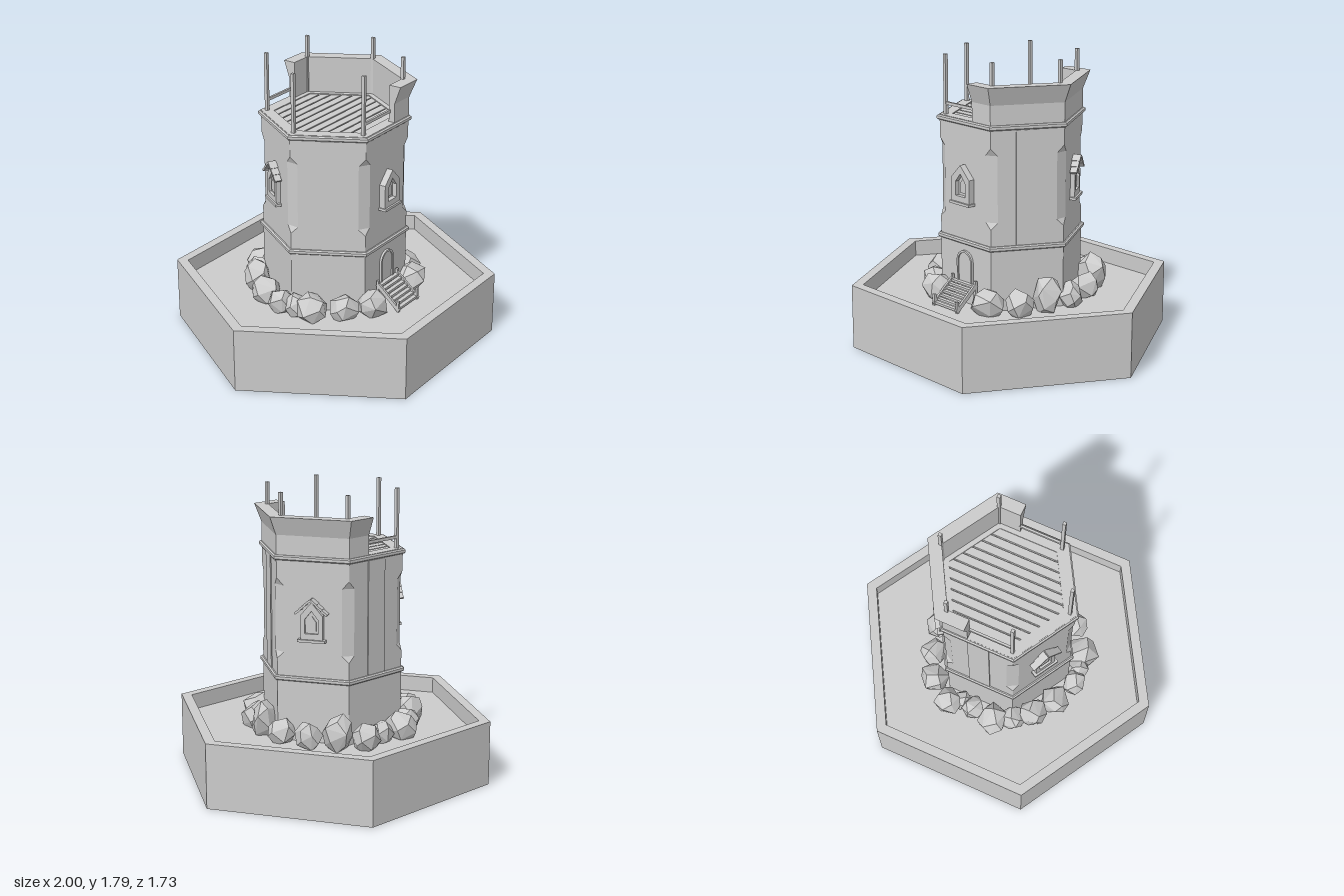
import * as THREE from 'three';
import { ConvexGeometry } from 'three/addons/geometries/ConvexGeometry.js';

const mat = new THREE.MeshStandardMaterial({ color: 0xcccccc, flatShading: true });
const APOTHEM = 0.384, R = 0.443;

function add(parent, name, geometry, x = 0, y = 0, z = 0) {
  const mesh = new THREE.Mesh(geometry, mat);
  mesh.name = name;
  mesh.position.set(x, y, z);
  parent.add(mesh);
  return mesh;
}
const box = (parent, name, w, h, d, x, y, z) =>
  add(parent, name, new THREE.BoxGeometry(w, h, d), x, y, z);

// Six-sided solid or ring from a (radius, height) profile
function hexLathe(profile) {
  const pts = profile.map(([r, y]) => new THREE.Vector2(r, y));
  const g = new THREE.LatheGeometry(pts, 6, Math.PI / 2).toNonIndexed();
  g.computeVertexNormals();
  return g;
}

// Skin over matching closed cross-sections, with flat end caps
function loft(rings) {
  const pos = [], n = rings[0].length;
  const tri = (...p) => p.forEach(v => pos.push(...v));
  for (let i = 0; i < rings.length - 1; i++) {
    for (let j = 0; j < n; j++) {
      const k = (j + 1) % n, a = rings[i], b = rings[i + 1];
      tri(a[j], a[k], b[k]);
      tri(a[j], b[k], b[j]);
    }
  }
  const first = rings[0], last = rings[rings.length - 1];
  for (let j = 1; j < n - 1; j++) {
    tri(first[0], first[j + 1], first[j]);
    tri(last[0], last[j], last[j + 1]);
  }
  const g = new THREE.BufferGeometry();
  g.setAttribute('position', new THREE.Float32BufferAttribute(pos, 3));
  g.computeVertexNormals();
  return g;
}

const corner = (k, r = R) => {
  const a = Math.PI / 6 + k * Math.PI / 3;
  return [r * Math.sin(a), r * Math.cos(a)];
};

// Hexagon at height y, each corner cut back by t along both walls
function cutHexagon(y, t) {
  const ring = [];
  for (let k = 0; k < 6; k++) {
    const c = corner(k);
    for (const n of [corner(k - 1), corner(k + 1)]) {
      ring.push([c[0] + (n[0] - c[0]) * t / R, y, c[1] + (n[1] - c[1]) * t / R]);
    }
  }
  return ring;
}

function house(w, y0, y1, y2, Type = THREE.Shape) {
  return new Type([[-w, y0], [w, y0], [w, y1], [0, y2], [-w, y1]]
    .map(p => new THREE.Vector2(...p)));
}
function arch(w, y0, y1, Type = THREE.Shape) {
  const s = new Type();
  s.moveTo(-w, y0);
  s.lineTo(w, y0);
  s.lineTo(w, y1);
  s.absarc(0, y1, w, 0, Math.PI, false);
  s.closePath();
  return s;
}
const extrude = (shape, depth) =>
  new THREE.ExtrudeGeometry(shape, { depth, bevelEnabled: false, curveSegments: 10 });

// Group placed on the wall that faces the given angle
function wallGroup(parent, name, angle) {
  const g = new THREE.Group();
  g.name = name;
  g.rotation.y = angle;
  g.position.set(APOTHEM * Math.sin(angle), 0, APOTHEM * Math.cos(angle));
  parent.add(g);
  return g;
}

function addWindow(parent, angle, roofed) {
  const g = wallGroup(parent, 'window', angle);
  const w = roofed ? 0.068 : 0.078, depth = roofed ? 0.028 : 0.04;
  const frame = house(w, 0.935, 1.085, 1.165);
  frame.holes.push(house(0.042, 0.975, 1.06, 1.112, THREE.Path));
  add(g, 'windowFrame', extrude(frame, depth));
  add(g, 'windowPane', extrude(house(0.045, 0.97, 1.062, 1.116), 0.012));
  add(g, 'windowInnerFrame', extrude(house(0.026, 0.99, 1.045, 1.08), 0.018));
  box(g, 'windowSill', 0.17, 0.016, depth + 0.012, 0, 0.932, (depth + 0.012) / 2);
  if (!roofed) return;
  // Overlapping roof boards on both slopes
  for (const s of [-1, 1]) {
    for (let i = 0; i < 3; i++) {
      const b = box(g, 'windowRoofBoard', 0.047, 0.013, 0.05 - i * 0.004,
        s * (0.018 + i * 0.031), 1.168 - i * 0.029, 0.025);
      b.rotation.z = -s * 0.66;
    }
  }
}

function addStairs(parent) {
  const g = new THREE.Group();
  g.name = 'stairs';
  parent.add(g);
  for (let i = 0; i < 7; i++) {
    box(g, 'stairTread', 0.2, 0.014, 0.026, 0, 0.43 - i * 0.019, 0.405 + i * 0.0225);
  }
  for (const s of [-1, 1]) {
    const rail = box(g, 'stairStringer', 0.014, 0.026, 0.21, s * 0.103, 0.375, 0.475);
    rail.rotation.x = 0.7;
    box(g, 'stairTopPost', 0.016, 0.12, 0.016, s * 0.103, 0.405, 0.4);
    box(g, 'stairBottomPost', 0.016, 0.07, 0.016, s * 0.103, 0.335, 0.548);
  }
}

// Faceted boulder from jittered, evenly spread points
function boulder(rx, ry, rz, random) {
  const pts = [], n = 16;
  for (let i = 0; i < n; i++) {
    const y = 1 - 2 * (i + 0.5) / n, a = i * 2.4 + random() * 0.7;
    const r = Math.sqrt(1 - y * y), s = 0.95 + random() * 0.2;
    pts.push(new THREE.Vector3(rx * s * r * Math.cos(a), ry * s * y, rz * s * r * Math.sin(a)));
  }
  return new ConvexGeometry(pts);
}

export function createModel() {
  const model = new THREE.Group();
  model.name = 'hexTower';

  // Base tray with a raised rim
  add(model, 'base', hexLathe([[0, 0], [1, 0], [1, 0.4], [0.93, 0.4], [0.93, 0.3], [0, 0.3]]));

  // Tower body with bevelled corners between the bands
  const sections = [[0.29, 0], [0.805, 0], [0.845, 0.042], [1.25, 0.042], [1.295, 0], [1.4, 0]];
  add(model, 'towerBody', loft(sections.map(([y, t]) => cutHexagon(y, t + 0.0003))));
  for (const y of [0.672, 1.402]) {
    add(model, 'band', hexLathe([[0.43, y], [0.452, y], [0.462, y + 0.007],
      [0.462, y + 0.023], [0.452, y + 0.03], [0.43, y + 0.03]]));
  }

  // Tall wall panels and windows on alternating walls
  for (const a of [-1, 1, 3]) {
    const g = wallGroup(model, 'wallPanel', a * Math.PI / 3);
    box(g, 'panelBoard', 0.137, 0.695, 0.008, 0, 1.052, 0.002);
  }
  for (const a of [0, 2, -2]) addWindow(model, a * Math.PI / 3, a !== 0);

  // Arched door and steps
  const door = wallGroup(model, 'door', 0);
  const frame = arch(0.067, 0.4, 0.565);
  frame.holes.push(arch(0.054, 0.41, 0.565, THREE.Path));
  add(door, 'doorFrame', extrude(frame, 0.014));
  add(door, 'doorLeaf', extrude(arch(0.058, 0.405, 0.565), 0.006));
  addStairs(model);

  // Roof deck: frame ring, joists and planks
  add(model, 'deckFrame', hexLathe([[0.445, 1.39], [0.445, 1.434], [0.365, 1.434], [0.365, 1.39]]));
  for (const x of [-0.2, 0.2]) box(model, 'deckJoist', 0.02, 0.02, 0.64, x, 1.405, 0);
  for (let i = 0; i < 11; i++) {
    const z = (i - 5) * 0.0585;
    box(model, 'deckPlank', 2 * (0.405 - Math.abs(z) / Math.sqrt(3)), 0.02, 0.05, 0, 1.418, z);
  }

  // Flared parapet around the left half of the deck
  const profile = [[0.4, 1.66], [0.49, 1.66], [0.445, 1.55], [0.445, 1.43], [0.4, 1.43]];
  const end = s => profile.map(([r, y]) => [0.065, y, s * r * Math.sqrt(3) / 2]);
  const bend = k => profile.map(([r, y]) => {
    const [x, z] = corner(k, r);
    return [x, y, z];
  });
  add(model, 'parapet', loft([end(1), bend(0), bend(1), bend(2), end(-1)]));

  // Corner posts and rails
  for (let k = 0; k < 6; k++) {
    const [x, z] = corner(k, 0.405);
    box(model, 'deckPost', 0.02, 0.39, 0.02, x, 1.6, z);
  }
  for (const s of [-1, 1]) box(model, 'deckRail', 0.28, 0.018, 0.014, -0.065, 1.5, s * 0.351);

  // Ring of boulders: x, z, radius, top height
  const rocks = [
    [-0.13, -0.48, 0.1, 0.45], [0.02, -0.46, 0.075, 0.43], [0.18, -0.49, 0.09, 0.45],
    [0.32, -0.39, 0.095, 0.515], [0.41, -0.23, 0.085, 0.45], [0.46, -0.05, 0.08, 0.44],
    [0.44, 0.13, 0.085, 0.51], [0.37, 0.29, 0.09, 0.45], [0.23, 0.42, 0.1, 0.45],
    [-0.21, 0.43, 0.1, 0.445], [-0.35, 0.32, 0.09, 0.44], [-0.46, 0.17, 0.105, 0.45],
    [-0.5, -0.04, 0.08, 0.44], [-0.44, -0.2, 0.095, 0.45], [-0.34, -0.34, 0.09, 0.49],
    [-0.24, -0.42, 0.08, 0.44], [0.1, -0.44, 0.06, 0.42], [-0.48, 0.06, 0.07, 0.43],
  ];
  let seed = 7;
  const random = () => (seed = (seed * 16807) % 2147483647) / 2147483647;
  for (const [x, z, r, top] of rocks) {
    const h = (top - 0.27) / 2;
    const rock = add(model, 'boulder', boulder(r, h, r * 0.95, random), x, 0.27 + h, z);
    rock.rotation.y = random() * 6;
  }
  return model;
}
